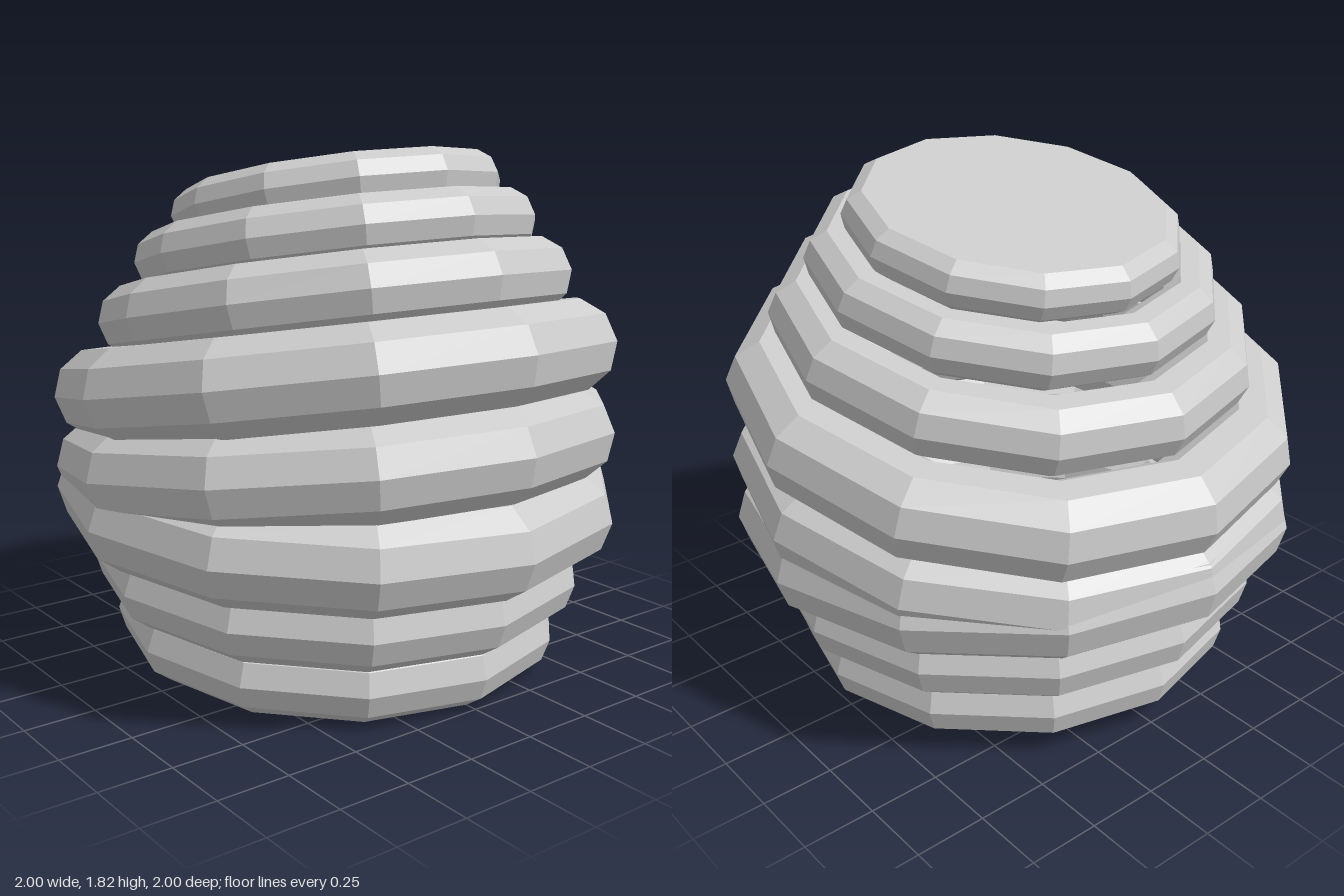
import * as THREE from 'three';

const SIDES = 12, TUBE_SIDES = 10;

// outer radius, tube radius, centre height, tilt in degrees (bottom to top)
const RINGS = [
  [0.80, 0.130, 0.153, -2.4],
  [0.88, 0.140, 0.367, -2.4],
  [1.00, 0.165, 0.610, -2.5],
  [1.00, 0.160, 0.770, 7.5],
  [1.00, 0.160, 1.040, 10],
  [0.84, 0.128, 1.285, 10.5],
  [0.71, 0.105, 1.482, 10.5],
  [0.58, 0.090, 1.632, 11.2],
];

export function createModel() {
  const model = new THREE.Group();
  model.name = 'ringStack';
  const material = new THREE.MeshStandardMaterial({
    color: 0xcccccc, flatShading: true, side: THREE.DoubleSide,
  });

  RINGS.forEach(([outer, tube, y, tilt], i) => {
    // Faceted ring lying flat, then tipped sideways
    const geometry = new THREE.TorusGeometry(outer - tube, tube, TUBE_SIDES, SIDES);
    geometry.rotateX(-Math.PI / 2);
    const ring = new THREE.Mesh(geometry, material);
    ring.name = `ring${i + 1}`;
    ring.position.y = y;
    ring.rotation.z = THREE.MathUtils.degToRad(tilt);
    model.add(ring);

    // Flat lid closing the hole of the top ring
    if (i === RINGS.length - 1) {
      const step = (2 * Math.PI) / 5;
      const lid = new THREE.CircleGeometry(outer - tube - tube * Math.cos(step), SIDES);
      lid.rotateX(-Math.PI / 2).translate(0, tube * Math.sin(step), 0);
      const cap = new THREE.Mesh(lid, material);
      cap.name = 'topLid';
      ring.add(cap);
    }
  });

  return model;
}
